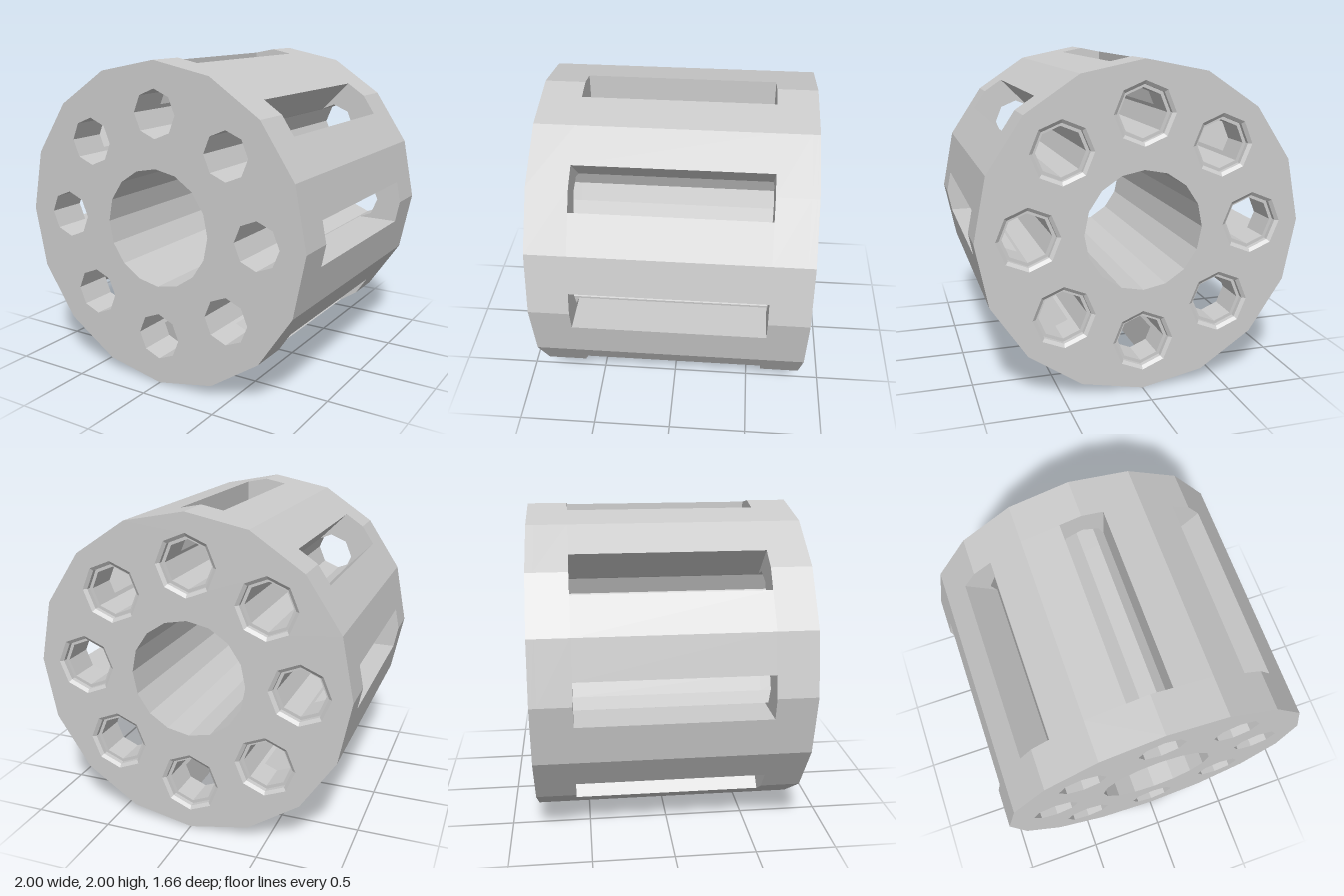
import * as THREE from 'three';

const SLOTS = 8, ORBIT = 0.69, HOLE_R = 0.147, BORE_R = 0.365;
const HALF = 0.832, SLOT_HALF = 0.585, SLOT_W = 0.137;

// regular polygon points around (cx, cy), first corner at angle 0
function ngon(n, r, cx = 0, cy = 0) {
  return Array.from({ length: n }, (_, i) => {
    const a = (i / n) * Math.PI * 2;
    return new THREE.Vector2(cx + r * Math.cos(a), cy + r * Math.sin(a));
  });
}

// 16-sided disc with the central bore and eight octagonal holes
function discShape(holeR) {
  const shape = new THREE.Shape(ngon(16, 1));
  shape.holes.push(new THREE.Path(ngon(16, BORE_R)));
  for (let i = 0; i < SLOTS; i++) {
    const a = (i / SLOTS) * Math.PI * 2;
    shape.holes.push(new THREE.Path(ngon(8, holeR, ORBIT * Math.cos(a), ORBIT * Math.sin(a))));
  }
  return shape;
}

// middle cross-section: each hole is open to the outside through a radial slot
function slottedShape() {
  const d = HOLE_R * Math.SQRT1_2;
  const lip = d * (HOLE_R - SLOT_W) / (HOLE_R - d);
  const half = [ // [radial, sideways] from the rim to the hole's floor
    [1 - SLOT_W * Math.tan(Math.PI / 16), SLOT_W],
    [ORBIT + lip, SLOT_W], [ORBIT, HOLE_R], [ORBIT - d, d],
  ];
  const notch = [
    ...half.map(([r, p]) => [r, -p]),
    [ORBIT - HOLE_R, 0],
    ...half.slice().reverse(),
  ];
  const pts = [];
  for (let i = 0; i < SLOTS; i++) {
    const a = (i / SLOTS) * Math.PI * 2, c = Math.cos(a), s = Math.sin(a);
    for (const [r, p] of notch) pts.push(new THREE.Vector2(r * c - p * s, r * s + p * c));
    const b = a + Math.PI / SLOTS;
    pts.push(new THREE.Vector2(Math.cos(b), Math.sin(b)));
  }
  const shape = new THREE.Shape(pts);
  shape.holes.push(new THREE.Path(ngon(16, BORE_R)));
  return shape;
}

export function createModel() {
  const group = new THREE.Group();
  group.name = 'slottedCylinder';
  const mat = new THREE.MeshStandardMaterial({ color: 0xcccccc, flatShading: true });
  const thin = new THREE.MeshStandardMaterial({ color: 0xcccccc, flatShading: true, side: THREE.DoubleSide });

  const layer = (name, shape, z0, z1) => {
    const geo = new THREE.ExtrudeGeometry(shape, { depth: z1 - z0, bevelEnabled: false });
    const mesh = new THREE.Mesh(geo, mat);
    mesh.name = name;
    mesh.position.set(0, 1, z0);
    group.add(mesh);
  };

  // body, from front to back
  const ledge = -HALF + 0.045, sink = -HALF + 0.015;
  layer('frontEnd', discShape(HOLE_R), SLOT_HALF, HALF);
  layer('slottedBody', slottedShape(), -SLOT_HALF, SLOT_HALF);
  layer('backEnd', discShape(HOLE_R), ledge, -SLOT_HALF);
  layer('recessLayer', discShape(0.168), sink, ledge);
  layer('backFace', discShape(0.19), -HALF, sink);

  // shallow chamfer at the back mouth of each hole
  const chamfer = new THREE.CylinderGeometry(0.168, 0.19, sink + HALF, 8, 1, true).rotateX(Math.PI / 2);
  for (let i = 0; i < SLOTS; i++) {
    const a = (i / SLOTS) * Math.PI * 2;
    const mesh = new THREE.Mesh(chamfer, thin);
    mesh.name = 'holeChamfer';
    mesh.position.set(ORBIT * Math.cos(a), 1 + ORBIT * Math.sin(a), (sink - HALF) / 2);
    group.add(mesh);
  }
  return group;
}
